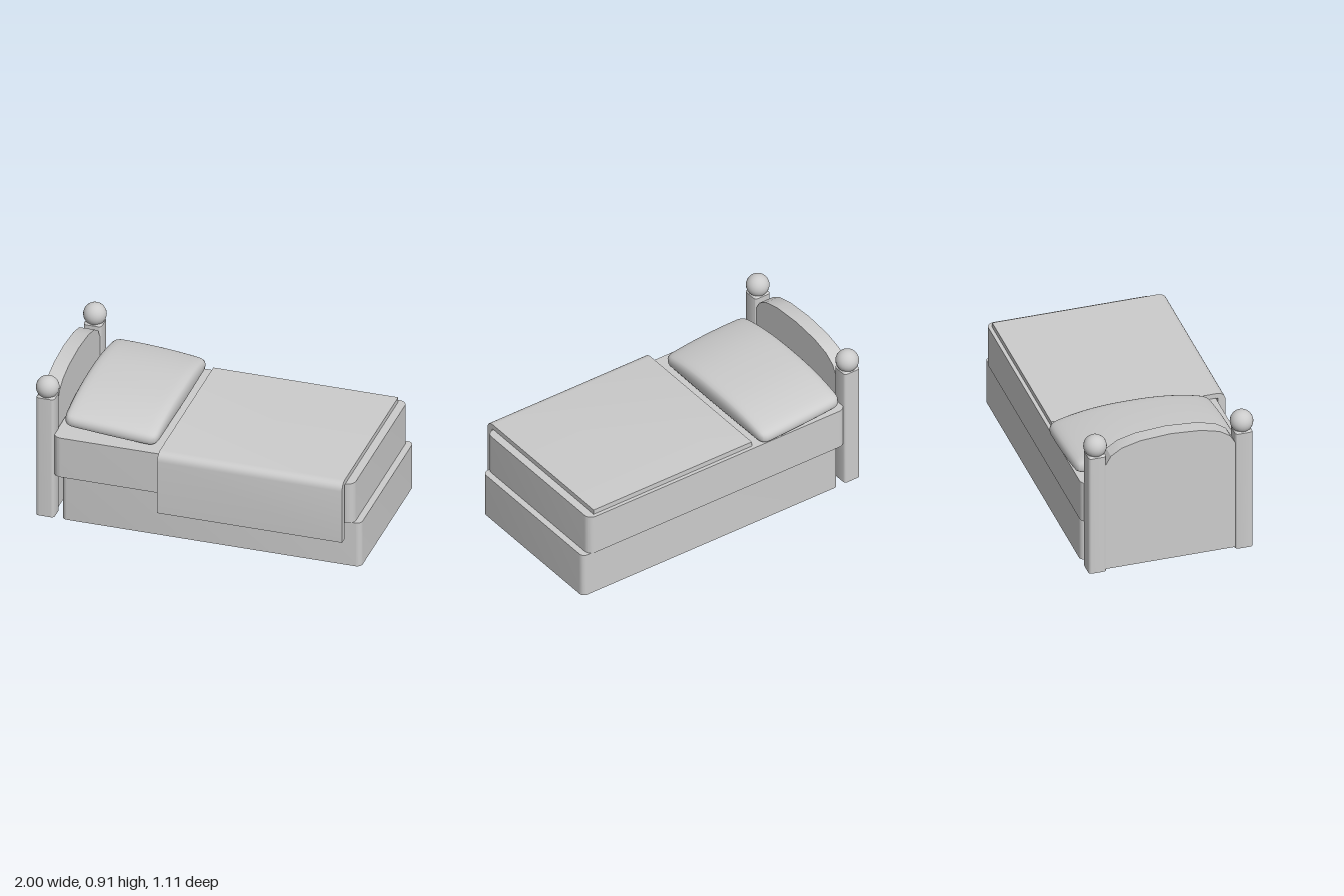
import * as THREE from 'three';
import { mergeVertices, toCreasedNormals } from 'three/addons/utils/BufferGeometryUtils.js';

const material = new THREE.MeshStandardMaterial({ color: 0xcccccc });

function addMesh(parent, name, geometry) {
  const mesh = new THREE.Mesh(geometry, material);
  mesh.name = name;
  parent.add(mesh);
  return mesh;
}

// Upright slab with rounded vertical corners; chamfer trims the top edge
function slab(x0, x1, y0, y1, z0, z1, r, chamfer = 0) {
  const w = (x1 - x0) / 2 - chamfer, d = (z1 - z0) / 2 - chamfer;
  const s = new THREE.Shape();
  s.absarc(w - r, d - r, r, 0, Math.PI / 2);
  s.absarc(-w + r, d - r, r, Math.PI / 2, Math.PI);
  s.absarc(-w + r, -d + r, r, Math.PI, Math.PI * 1.5);
  s.absarc(w - r, -d + r, r, Math.PI * 1.5, Math.PI * 2);
  const g = new THREE.ExtrudeGeometry(s, {
    depth: y1 - y0 - chamfer, curveSegments: 6, bevelEnabled: chamfer > 0,
    bevelSize: chamfer, bevelThickness: chamfer, bevelSegments: 1,
  });
  g.rotateX(-Math.PI / 2);
  g.translate((x0 + x1) / 2, y0, (z0 + z1) / 2);
  // Keep the foot of a chamfered slab flat on its base
  const p = g.attributes.position;
  for (let i = 0; i < p.count; i++) p.setY(i, Math.max(p.getY(i), y0));
  return toCreasedNormals(g, 0.6);
}

// Profile given as (z, y), extruded along x from x0 to x1
function extrudeAlongX(shape, x0, x1, crease) {
  const g = new THREE.ExtrudeGeometry(shape, { depth: x1 - x0, bevelEnabled: false, curveSegments: 6 });
  g.rotateY(Math.PI / 2);
  g.scale(1, 1, -1);
  // Mirroring flips the faces, so swap two corners of each triangle
  const flat = g.index ? g.toNonIndexed() : g;
  const p = flat.attributes.position;
  const a = new THREE.Vector3(), b = new THREE.Vector3();
  for (let i = 0; i < p.count; i += 3) {
    a.fromBufferAttribute(p, i);
    b.fromBufferAttribute(p, i + 1);
    p.setXYZ(i, b.x, b.y, b.z);
    p.setXYZ(i + 1, a.x, a.y, a.z);
  }
  flat.translate(x0, 0, 0);
  return toCreasedNormals(flat, crease);
}

// Soft cushion: rounded box whose top sinks towards both ends
function cushion(w, h, d, r) {
  let g = new THREE.BoxGeometry(2, 2, 2, 18, 8, 24);
  g.deleteAttribute('uv');
  g.deleteAttribute('normal');
  const p = g.attributes.position;
  const half = new THREE.Vector3(w / 2, h / 2, d / 2);
  const inner = half.clone().subScalar(r);
  const v = new THREE.Vector3(), core = new THREE.Vector3();
  const ease = (t) => Math.sin(t * Math.PI / 2);
  for (let i = 0; i < p.count; i++) {
    v.set(ease(p.getX(i)), ease(p.getY(i)), ease(p.getZ(i))).multiply(half);
    core.copy(v).clamp(inner.clone().negate(), inner);
    v.sub(core).setLength(r).add(core);
    const u = v.x / half.x, t = v.z / half.z;
    const top = (v.y + half.y) / h;
    v.y -= top * (0.065 * Math.abs(t) ** 2.5 + 0.008 * u * u);
    v.x *= 1 - 0.04 * t * t;
    v.z *= 1 - 0.015 * u * u;
    p.setXYZ(i, v.x, v.y, v.z);
  }
  g = mergeVertices(g, 1e-5);
  g.computeVertexNormals();
  return g;
}

export function createModel() {
  const bed = new THREE.Group();
  bed.name = 'bed';

  // Base and mattress
  addMesh(bed, 'base', slab(-0.83, 1, 0, 0.29, -0.525, 0.477, 0.035));
  addMesh(bed, 'mattress', slab(-0.88, 0.96, 0.29, 0.552, -0.533, 0.495, 0.05));

  // Blanket lying on top and hanging over the front side
  const b = new THREE.Shape();
  b.moveTo(-0.51, 0.55);
  b.lineTo(0.507, 0.55);
  b.lineTo(0.507, 0.19);
  b.lineTo(0.555, 0.19);
  b.lineTo(0.555, 0.532);
  b.quadraticCurveTo(0.552, 0.58, 0.5, 0.583);
  b.lineTo(-0.51, 0.583);
  addMesh(bed, 'blanket', extrudeAlongX(b, -0.22, 0.91, 0.6));

  // Pillow tilted down towards the foot
  const pillow = addMesh(bed, 'pillow', cushion(0.59, 0.145, 0.995, 0.055));
  pillow.position.set(-0.548, 0.641, -0.058);
  pillow.rotation.z = -0.08;

  // Headboard: arched panel between two posts with ball finials
  const headboard = new THREE.Group();
  headboard.name = 'headboard';
  bed.add(headboard);
  const zc = -0.0225;
  const arch = [[0.4, 0.72], [0.365, 0.78], [0.3, 0.823], [0.185, 0.853], [0, 0.866]];
  const outline = [[-0.4, 0.01], [0.4, 0.01], ...arch,
    ...arch.slice(0, -1).reverse().map(([z, y]) => [-z, y])];
  const panel = new THREE.Shape(outline.map(([z, y]) => new THREE.Vector2(z + zc, y)));
  addMesh(headboard, 'headboardPanel', extrudeAlongX(panel, -0.978, -0.885, 0.35));
  for (const side of [-1, 1]) {
    const z = zc + side * 0.4475;
    addMesh(headboard, 'post', slab(-0.987, -0.876, 0, 0.8, z - 0.053, z + 0.053, 0.006, 0.012));
    addMesh(headboard, 'postBall', new THREE.SphereGeometry(0.069, 24, 16)).position.set(-0.931, 0.842, z);
  }
  return bed;
}
